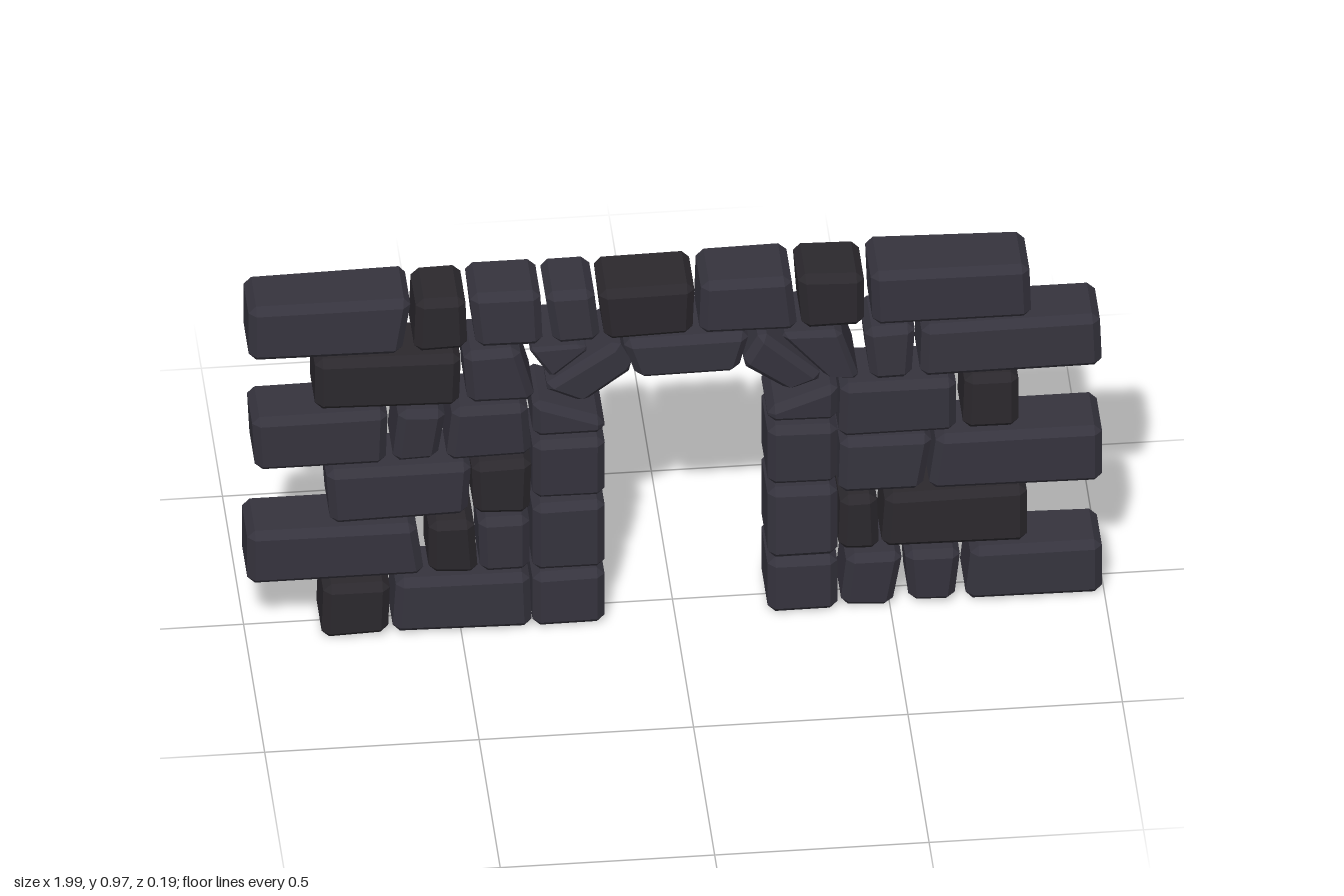
import * as THREE from 'three';
import { ConvexGeometry } from 'three/addons/geometries/ConvexGeometry.js';

const light = new THREE.MeshStandardMaterial({ color: 0x35333d });
const dark = new THREE.MeshStandardMaterial({ color: 0x2b282d });

// Small seeded random, -1..1
let seed = 7;
const rand = () => {
  seed = (seed * 16807) % 2147483647;
  return (seed / 2147483647) * 2 - 1;
};

// Chamfered stone: four outline corners (counter-clockwise) given depth from zBack to zFront,
// with slightly tilted front and back faces
function stone(name, corners, zBack, zFront, material = light, chamfer = 0.018) {
  const outline = corners.map(([x, y]) => new THREE.Vector2(x, y));
  const centre = outline.reduce((sum, p) => sum.add(p), new THREE.Vector2()).divideScalar(4);
  const points = [];
  for (const [z, inward] of [[zFront, -1], [zBack, 1]]) {
    const tiltX = rand() * 0.03, tiltY = rand() * 0.06;
    outline.forEach((p, i) => {
      const a = outline[(i + 1) % 4].clone().sub(p).setLength(chamfer);
      const b = outline[(i + 3) % 4].clone().sub(p).setLength(chamfer);
      const add = (dx, dy, dz) => {
        const x = p.x + dx, y = p.y + dy;
        points.push(new THREE.Vector3(x, y,
          z + (x - centre.x) * tiltX + (y - centre.y) * tiltY + dz * inward));
      };
      add(a.x + b.x, a.y + b.y, 0);
      add(a.x, a.y, chamfer);
      add(b.x, b.y, chamfer);
    });
  }
  const mesh = new THREE.Mesh(new ConvexGeometry(points), material);
  mesh.name = name;
  return mesh;
}

// Courses from the ground up; each stone is
// [bottom left x, bottom right x, top left x, top right x, is dark]
const courses = [
  { y0: 0.005, y1: 0.155, stones: [
    [-0.825, -0.67, -0.82, -0.665, 1], [-0.66, -0.335, -0.65, -0.34],
    [0.385, 0.505, 0.4, 0.53], [0.545, 0.65, 0.535, 0.665], [0.675, 0.995, 0.69, 0.995]] },
  { y0: 0.168, y1: 0.322, stones: [
    [-0.998, -0.585, -0.998, -0.605], [-0.575, -0.46, -0.575, -0.47, 1], [-0.455, -0.34, -0.46, -0.34],
    [0.38, 0.475, 0.385, 0.47, 1], [0.48, 0.82, 0.49, 0.82, 1]] },
  { y0: 0.332, y1: 0.485, stones: [
    [-0.805, -0.485, -0.815, -0.475], [-0.47, -0.34, -0.475, -0.335, 1],
    [0.38, 0.575, 0.385, 0.6], [0.59, 0.995, 0.61, 0.995]] },
  { y0: 0.497, y1: 0.648, stones: [
    [-0.98, -0.675, -0.988, -0.67], [-0.66, -0.555, -0.645, -0.535], [-0.535, -0.335, -0.52, -0.345],
    [0.38, 0.655, 0.385, 0.655], [0.67, 0.8, 0.675, 0.8, 1]] },
  { y0: 0.657, y1: 0.805, stones: [
    [-0.84, -0.505, -0.84, -0.5, 1], [-0.485, -0.325, -0.495, -0.365],
    [0.455, 0.55, 0.44, 0.56], [0.57, 0.995, 0.575, 0.99]] },
  { y0: 0.818, y1: 0.967, zBack: -0.073, zFront: 0.088, stones: [
    [-0.995, -0.64, -0.995, -0.615], [-0.61, -0.485, -0.605, -0.49, 1], [-0.465, -0.31, -0.48, -0.315],
    [-0.285, -0.175, -0.305, -0.19], [-0.165, 0.04, -0.18, 0.045, 1], [0.055, 0.285, 0.06, 0.27],
    [0.295, 0.44, 0.285, 0.44, 1], [0.46, 0.83, 0.455, 0.825]] },
];

// Arch stones
const arch = [
  ['leftWedge', [[-0.29, 0.725], [-0.2, 0.8], [-0.22, 0.812], [-0.345, 0.812]], 0.01],
  ['leftVoussoir', [[-0.315, 0.69], [-0.215, 0.64], [-0.095, 0.735], [-0.135, 0.82]]],
  ['keystone', [[-0.09, 0.706], [0.145, 0.706], [0.175, 0.815], [-0.125, 0.815]]],
  ['rightVoussoir', [[0.15, 0.725], [0.265, 0.64], [0.35, 0.675], [0.2, 0.82]]],
  ['rightWedge', [[0.355, 0.675], [0.43, 0.665], [0.385, 0.81], [0.24, 0.81]], 0.014],
];

export function createModel() {
  seed = 7;
  const model = new THREE.Group();
  model.name = 'stoneArchWall';

  // Coursed wall stones
  courses.forEach(({ y0, y1, zBack = -0.076, zFront = 0.085, stones }, row) => {
    const course = new THREE.Group();
    course.name = `course${row + 1}`;
    for (const [bl, br, tl, tr, isDark] of stones) {
      const wobble = () => rand() * 0.004;
      course.add(stone('wallStone', [
        [bl, y0 + wobble()], [br, y0 + wobble()], [tr, y1 + wobble()], [tl, y1 + wobble()],
      ], zBack, zFront, isDark ? dark : light));
    }
    model.add(course);
  });

  // Deeper jamb blocks on both sides of the doorway, each side topped by a sloped springer
  for (const [side, inner, outer] of [['left', 0.215, 0.378], ['right', -0.165, -0.333]]) {
    const jamb = new THREE.Group();
    jamb.name = `${side}Jamb`;
    const block = (name, y0, yInner, yOuter) => {
      const corners = [[inner, y0], [outer, y0], [outer, yOuter], [inner, yInner]];
      if (outer < inner) corners.reverse();
      jamb.add(stone(name, corners, -0.093, 0.087));
    };
    block('jambBlock', 0.003, 0.157, 0.155);
    block('jambBlock', 0.162, 0.358, 0.355);
    block('jambBlock', 0.368, 0.54, 0.538);
    block('springer', 0.55, 0.592, 0.658);
    model.add(jamb);
  }

  // Arch ring over the doorway
  const ring = new THREE.Group();
  ring.name = 'arch';
  for (const [name, corners, chamfer] of arch) {
    ring.add(stone(name, corners, -0.095, 0.088, light, chamfer));
  }
  model.add(ring);
  return model;
}
